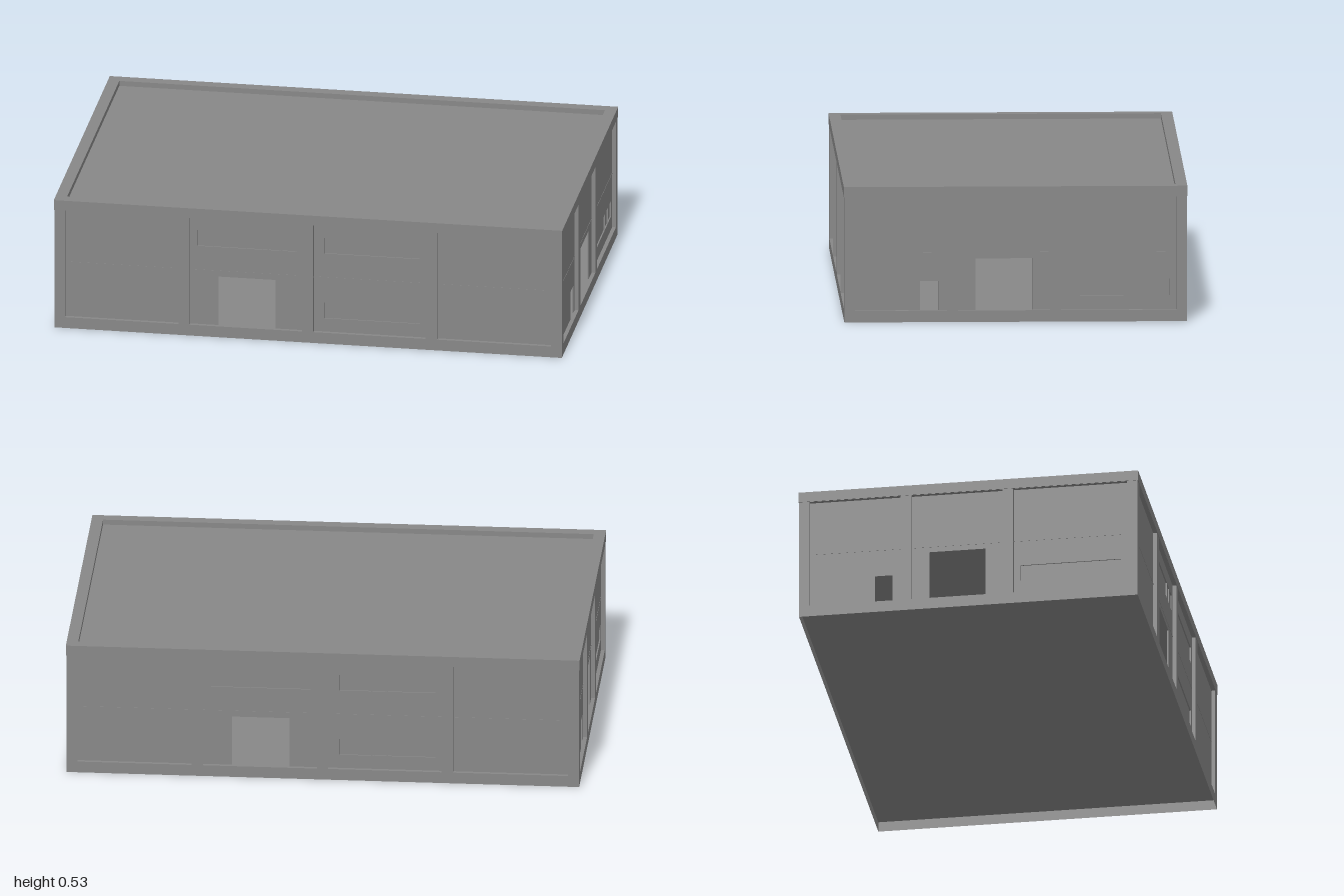
import * as THREE from 'three';

const HX = 0.998, HZ = 0.665;          // outer wall faces
const BASE = 0.045, BAND = 0.49, TOP = 0.531;
const SKIRT = 0.04;                    // height of the thin band around the open underside
const FRAME = 0.015, PANEL = 0.005;    // frame and panel thickness
const LOW = [0.1, 0.165], HIGH = [0.37, 0.435]; // window rows

function rect(path, x0, y0, x1, y1) {
  path.moveTo(x0, y0);
  path.lineTo(x1, y0);
  path.lineTo(x1, y1);
  path.lineTo(x0, y1);
  path.closePath();
  return path;
}

export function createModel() {
  const model = new THREE.Group();
  model.name = 'building';
  const mat = new THREE.MeshStandardMaterial({ color: 0x888888, side: THREE.DoubleSide });

  function add(parent, name, geometry, x = 0, y = 0, z = 0) {
    const mesh = new THREE.Mesh(geometry, mat);
    mesh.name = name;
    mesh.position.set(x, y, z);
    parent.add(mesh);
  }

  // flat plate with rectangular holes, its front face at z = 0
  function plate(outline, holes, depth) {
    const shape = rect(new THREE.Shape(), ...outline);
    holes.forEach(h => shape.holes.push(rect(new THREE.Path(), ...h)));
    return new THREE.ExtrudeGeometry(shape, { depth, bevelEnabled: false }).translate(0, 0, -depth);
  }

  // one facade: skirt, raised frame, recessed panels, doors, shallow windows
  function facade(name, half, skirtHalf, out, turn, bays, doors, windows) {
    const wall = new THREE.Group();
    wall.name = name;
    wall.rotation.y = turn;
    const panes = [];
    windows.forEach(({ edges, row }) => {
      for (let i = 0; i < edges.length - 1; i++) {
        panes.push([edges[i] + 0.003, row[0], edges[i + 1] - 0.003, row[1]]);
      }
    });
    const openings = [...doors.map(([a, b, top]) => [a, BASE, b, top]), ...panes];
    add(wall, 'skirt', new THREE.PlaneGeometry(2 * skirtHalf, SKIRT), 0, SKIRT / 2, out);
    add(wall, 'frame', plate([-half, SKIRT, half, BAND],
      bays.map(([a, b]) => [a, BASE, b, BAND - 0.001]), FRAME), 0, 0, out);
    bays.forEach(([a, b]) => {
      const holes = openings.filter(h => h[0] > a && h[2] < b);
      add(wall, 'panel', plate([a - 0.001, SKIRT, b + 0.001, 0.5], holes, PANEL), 0, 0, out - FRAME);
    });
    panes.forEach(([a, b, c, d]) => {
      add(wall, 'windowPane', new THREE.PlaneGeometry(c - a + 0.01, d - b + 0.01),
        (a + c) / 2, (b + d) / 2, out - FRAME - PANEL);
    });
    model.add(wall);
  }

  // long facades
  const longBays = [[-0.955, -0.51], [-0.467, -0.023], [0.02, 0.462], [0.507, 0.955]];
  const longDoor = [[-0.355, -0.13, 0.247]];
  facade('frontWall', HX, HX, HZ, 0, longBays, longDoor, [
    { edges: [-0.44, -0.16, -0.107, -0.045], row: HIGH },
    { edges: [0.06, 0.44], row: HIGH },
    { edges: [0.06, 0.44], row: LOW },
  ]);
  facade('backWall', HX, HX, HZ, Math.PI, longBays, longDoor, [
    { edges: [-0.44, -0.045], row: HIGH },
    { edges: [0.06, 0.19, 0.25, 0.44], row: HIGH },
    { edges: [0.06, 0.19, 0.25, 0.44], row: LOW },
  ]);

  // short facades, their frames fitted between the long ones
  const shortBays = [[-0.624, -0.266], [-0.224, 0.134], [0.176, 0.624]];
  const shortDoors = [[-0.37, -0.3, 0.159], [-0.155, 0.065, 0.247]];
  const shortHalf = HZ - FRAME;
  facade('leftWall', shortHalf, HZ, HX, Math.PI / 2, shortBays, shortDoors, [
    { edges: [0.2, 0.456, 0.524, 0.6], row: LOW },
  ]);
  facade('rightWall', shortHalf, HZ, HX, -Math.PI / 2, shortBays, shortDoors, [
    { edges: [0.2, 0.6], row: LOW },
  ]);

  // ground floor over the open underside
  add(model, 'groundFloor', new THREE.BoxGeometry(2 * HX - 0.002, BASE - SKIRT, 2 * HZ - 0.002),
    0, (BASE + SKIRT) / 2, 0);

  // upper floor, whose edge shows as a fine line on the panels
  const slabX = 2 * (HX - FRAME) + 0.002, slabZ = 2 * (HZ - FRAME) + 0.002;
  add(model, 'upperFloor', new THREE.BoxGeometry(slabX, 0.004, slabZ), 0, 0.27, 0);

  // parapet band around a sunken roof
  const parapet = plate([-1, -0.667, 1, 0.667], [[-0.955, -0.622, 0.955, 0.622]], TOP - BAND);
  add(model, 'parapet', parapet.rotateX(-Math.PI / 2), 0, TOP, 0);
  add(model, 'roof', new THREE.BoxGeometry(1.93, 0.015, 1.27), 0, 0.503, 0);

  return model;
}
